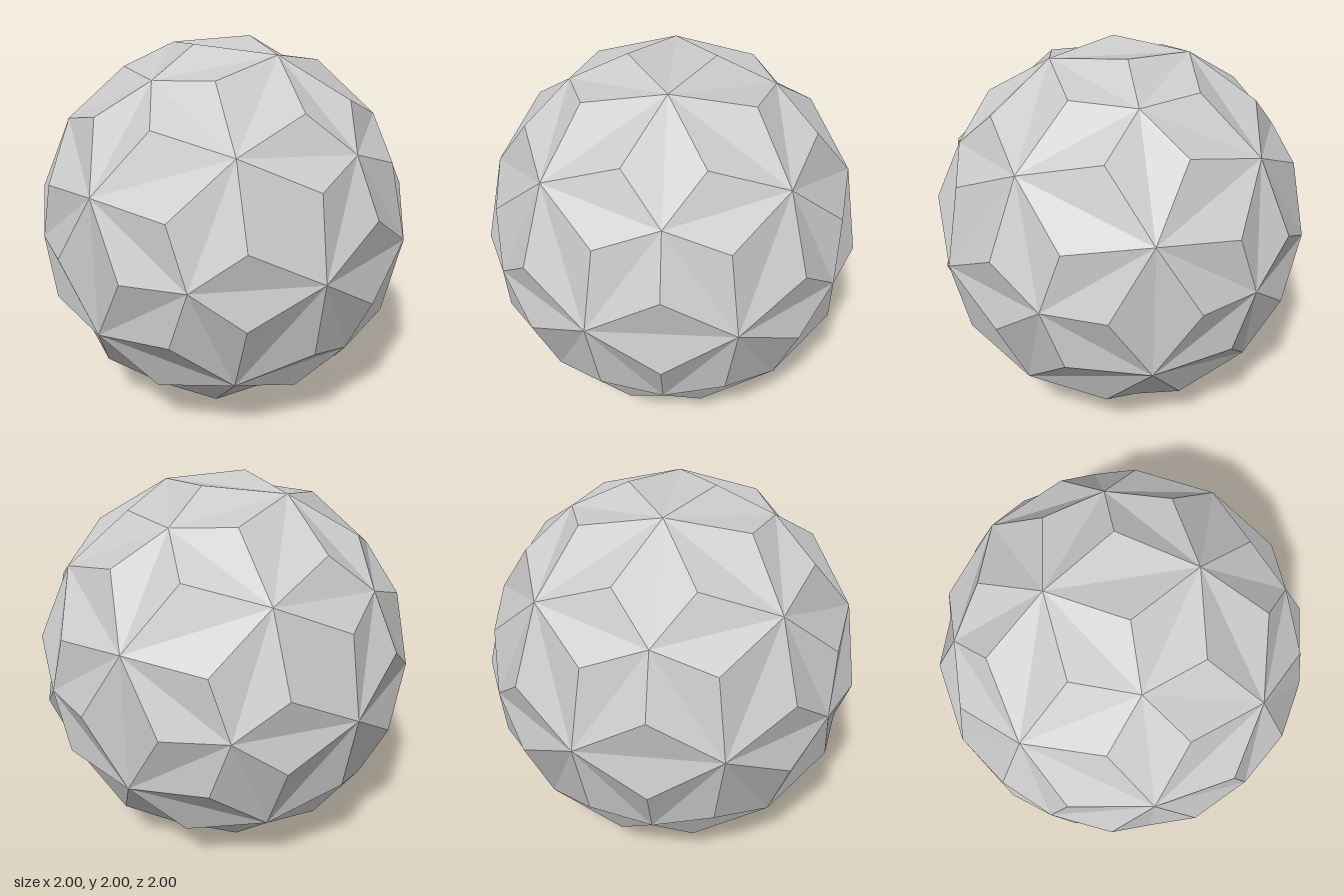
import * as THREE from 'three';

const PHI = (1 + Math.sqrt(5)) / 2;

// All sign variants and cyclic permutations of (0, a, b)
function cyclicPoints(a, b) {
  const points = [];
  for (const s of [1, -1]) for (const t of [1, -1]) {
    points.push(
      new THREE.Vector3(0, s * a, t * b),
      new THREE.Vector3(t * b, 0, s * a),
      new THREE.Vector3(s * a, t * b, 0));
  }
  return points;
}

export function createModel() {
  const group = new THREE.Group();
  group.name = 'facetedBall';

  // Twelve five-fold hubs (icosahedron) and twenty six-fold hubs (dodecahedron)
  const A = 0.53, S = 0.591;
  const fiveHubs = cyclicPoints(A * PHI, A);
  const sixHubs = cyclicPoints(S / PHI, S * PHI);
  for (const x of [S, -S]) for (const y of [S, -S]) for (const z of [S, -S]) {
    sixHubs.push(new THREE.Vector3(x, y, z));
  }

  // Peak weights chosen so that a peak lies at (0.225, 0, 1)
  const wFive = 0.225 / A;
  const wSix = (1 - wFive * A * PHI) / (2 * S * PHI);

  const positions = [];
  const addTriangle = (...corners) => corners.forEach(c => positions.push(c.x, c.y, c.z));
  const edge = 2 * S / PHI;

  // Raise a low three-sided pyramid over every hub triangle
  for (const v of fiveHubs) {
    const ring = sixHubs.filter(d => d.distanceTo(v) < 0.8);
    for (const d of ring) for (const e of ring) {
      if (Math.abs(d.distanceTo(e) - edge) > 0.01) continue;
      // keep only the counter-clockwise order of each pair
      if (v.dot(d.clone().cross(e)) < 0) continue;
      const peak = d.clone().add(e).multiplyScalar(wSix).addScaledVector(v, wFive);
      addTriangle(v, d, peak);
      addTriangle(d, e, peak);
      addTriangle(e, v, peak);
    }
  }

  const geometry = new THREE.BufferGeometry();
  geometry.setAttribute('position', new THREE.Float32BufferAttribute(positions, 3));
  geometry.computeVertexNormals();

  const ball = new THREE.Mesh(geometry,
    new THREE.MeshStandardMaterial({ color: 0xcccccc, flatShading: true }));
  ball.name = 'starFacets';
  ball.position.y = 1;
  group.add(ball);
  return group;
}
